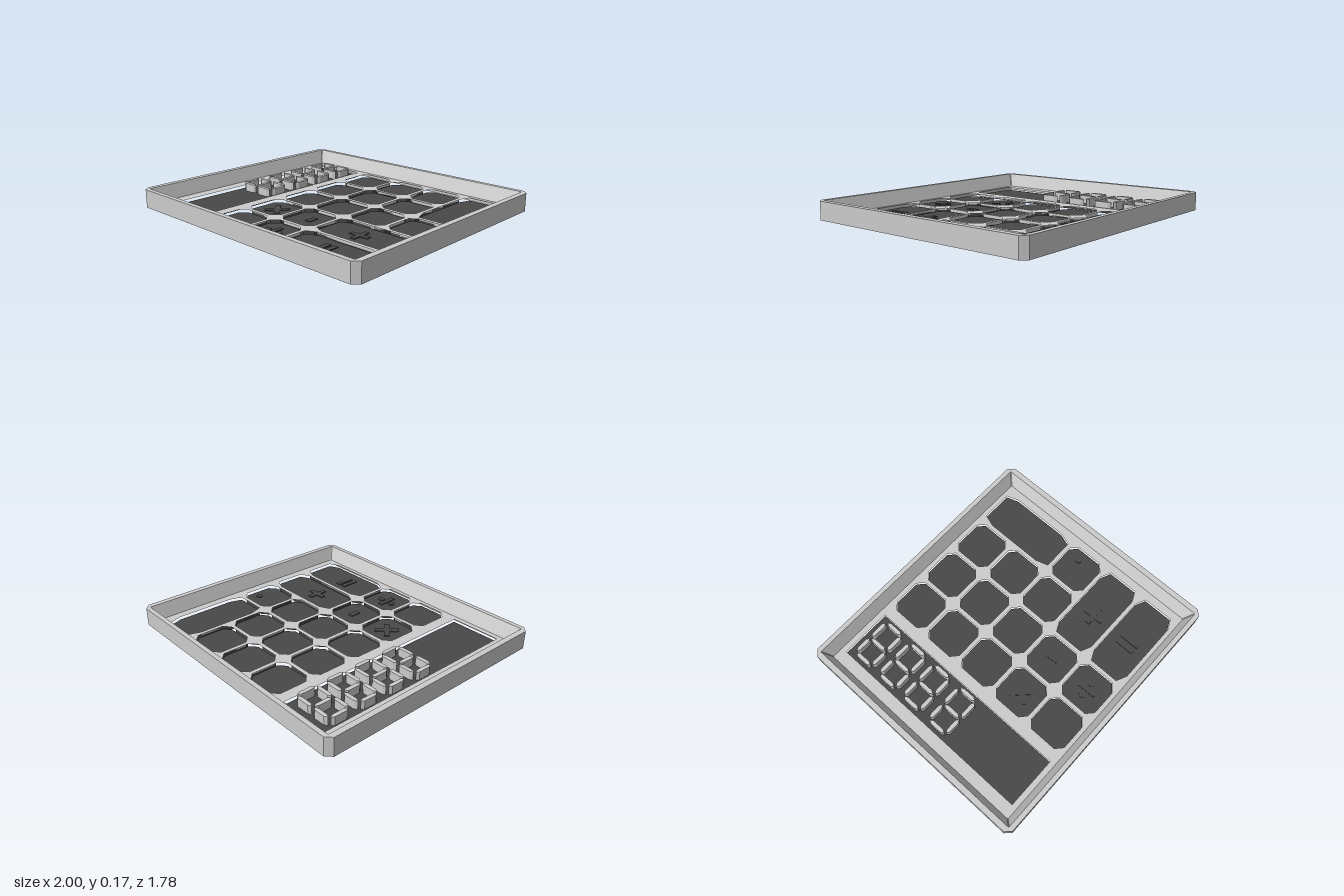
import * as THREE from 'three';

const light = new THREE.MeshStandardMaterial({ color: 0xcccccc, flatShading: true });
const dark = new THREE.MeshStandardMaterial({ color: 0x484848, flatShading: true });

// Rectangle with cut corners in the ground plane, as [x, z] points
function cutRect(x0, x1, z0, z1, cx, cz) {
  return [
    [x1, z0 + cz], [x1, z1 - cz], [x1 - cx, z1], [x0 + cx, z1],
    [x0, z1 - cz], [x0, z0 + cz], [x0 + cx, z0], [x1 - cx, z0],
  ];
}

const toVectors = (points) => points.map(([x, z]) => new THREE.Vector2(x, -z));

// Upright slab from an outline, with optional holes
function slab(name, points, y0, y1, material, holes = []) {
  const shape = new THREE.Shape(toVectors(points));
  shape.holes = holes.map((hole) => new THREE.Path(toVectors(hole)));
  const geometry = new THREE.ExtrudeGeometry(shape, { depth: y1 - y0, bevelEnabled: false });
  geometry.rotateX(-Math.PI / 2).translate(0, y0, 0);
  const mesh = new THREE.Mesh(geometry, material);
  mesh.name = name;
  return mesh;
}

// Skin over a series of rings, each { y, points }
function loft(rings) {
  const n = rings[0].points.length;
  const positions = [];
  const index = [];
  for (const { y, points } of rings) for (const [x, z] of points) positions.push(x, y, z);
  for (let i = 0; i < rings.length - 1; i++) {
    for (let j = 0; j < n; j++) {
      const k = (j + 1) % n;
      const a = i * n + j, b = i * n + k, c = b + n, d = a + n;
      index.push(a, d, c, a, c, b);
    }
  }
  const geometry = new THREE.BufferGeometry();
  geometry.setAttribute('position', new THREE.Float32BufferAttribute(positions, 3));
  geometry.setIndex(index);
  const flat = geometry.toNonIndexed();
  flat.computeVertexNormals();
  return flat;
}

export function createModel() {
  const model = new THREE.Group();
  model.name = 'calculatorCase';
  const floorY = 0.07, baseY = 0.04, keyTop = 0.05;

  // Surrounding wall with cut corners and sloping inner faces
  const outer = cutRect(-1, 1, -0.89, 0.89, 0.04, 0.04);
  const rim = cutRect(-0.96, 0.96, -0.857, 0.857, 0.004, 0.004);
  const inner = cutRect(-0.92, 0.92, -0.812, 0.812, 0.004, 0.004);
  const wall = new THREE.Mesh(loft([
    { y: baseY, points: outer },
    { y: 0.17, points: outer },
    { y: 0.17, points: rim },
    { y: floorY, points: inner },
    { y: baseY, points: inner },
    { y: baseY, points: outer },
  ]), light);
  wall.name = 'wall';
  model.add(wall);

  // Key grid: column, row, columns wide, rows deep
  const size = 0.288, pitch = 0.318;
  const layout = [[3, 0, 1, 2], [3, 2, 1, 1], [2, 3, 2, 1], [2, 4, 2, 1]];
  for (let row = 0; row < 5; row++) {
    for (let col = 0; col < (row < 3 ? 3 : 2); col++) layout.push([col, row, 1, 1]);
  }
  const keyOutlines = layout.map(([col, row, w, d]) => {
    const x = -0.382 + col * pitch, z = -0.778 + row * pitch;
    const cx = w > 1 ? 0.075 : d > 1 ? 0.03 : 0.05;
    const cz = d > 1 ? 0.09 : w > 1 ? 0.035 : 0.045;
    return cutRect(x, x + size + (w - 1) * pitch, z, z + size + (d - 1) * pitch, cx, cz);
  });
  const screenOutline = [[-0.465, -0.77], [-0.465, 0.773], [-0.835, 0.773], [-0.835, -0.77]];

  // Floor pierced by the keys and the screen
  model.add(slab('floor', inner, baseY, floorY, light, [...keyOutlines, screenOutline]));
  const keys = new THREE.Group();
  keys.name = 'keys';
  for (const outline of keyOutlines) keys.add(slab('key', outline, 0, keyTop, dark));
  model.add(keys);
  model.add(slab('screen', screenOutline, 0.034, keyTop, dark));

  // Four seven-bar displays standing on the screen
  const segments = new THREE.Group();
  segments.name = 'displaySegments';
  const addSegment = (x, z, w, d) => {
    const [cx, cz] = w > d ? [0.02, 0.013] : [0.013, 0.02];
    const outline = cutRect(x - w / 2, x + w / 2, z - d / 2, z + d / 2, cx, cz);
    segments.add(slab('segment', outline, keyTop - 0.005, 0.11, light));
  };
  for (const z of [-0.63, -0.4, -0.17, 0.07]) {
    for (const x of [-0.796, -0.655, -0.501]) addSegment(x, z, 0.028, 0.13);
    for (const side of [-1, 1]) {
      addSegment(-0.725, z + side * 0.076, 0.12, 0.028);
      addSegment(-0.578, z + side * 0.076, 0.132, 0.028);
    }
  }
  model.add(segments);

  // Raised operator marks on the function keys
  const marks = new THREE.Group();
  marks.name = 'operatorMarks';
  const addBar = (x, z, w, d, turn = 0) => {
    const bar = new THREE.Mesh(new THREE.BoxGeometry(w, 0.012, d), dark);
    bar.position.set(x, keyTop, z);
    bar.rotation.y = turn;
    bar.name = 'markBar';
    marks.add(bar);
  };
  const addDot = (x, z) => {
    const dot = new THREE.Mesh(new THREE.CylinderGeometry(0.024, 0.024, 0.012, 16), dark);
    dot.position.set(x, keyTop, z);
    dot.name = 'markDot';
    marks.add(dot);
  };
  for (const turn of [-1, 1]) addBar(-0.235, 0.32, 0.17, 0.04, turn * Math.PI / 4);
  addBar(0.095, 0.315, 0.04, 0.08);
  addBar(0.525, 0.325, 0.145, 0.035);
  addBar(0.525, 0.325, 0.035, 0.145);
  for (const x of [0.498, 0.552]) addBar(x, 0.635, 0.036, 0.14);
  addBar(0.08, 0.635, 0.035, 0.14);
  for (const x of [0.03, 0.13]) addDot(x, 0.635);
  addDot(0.79, -0.035);
  model.add(marks);

  return model;
}
